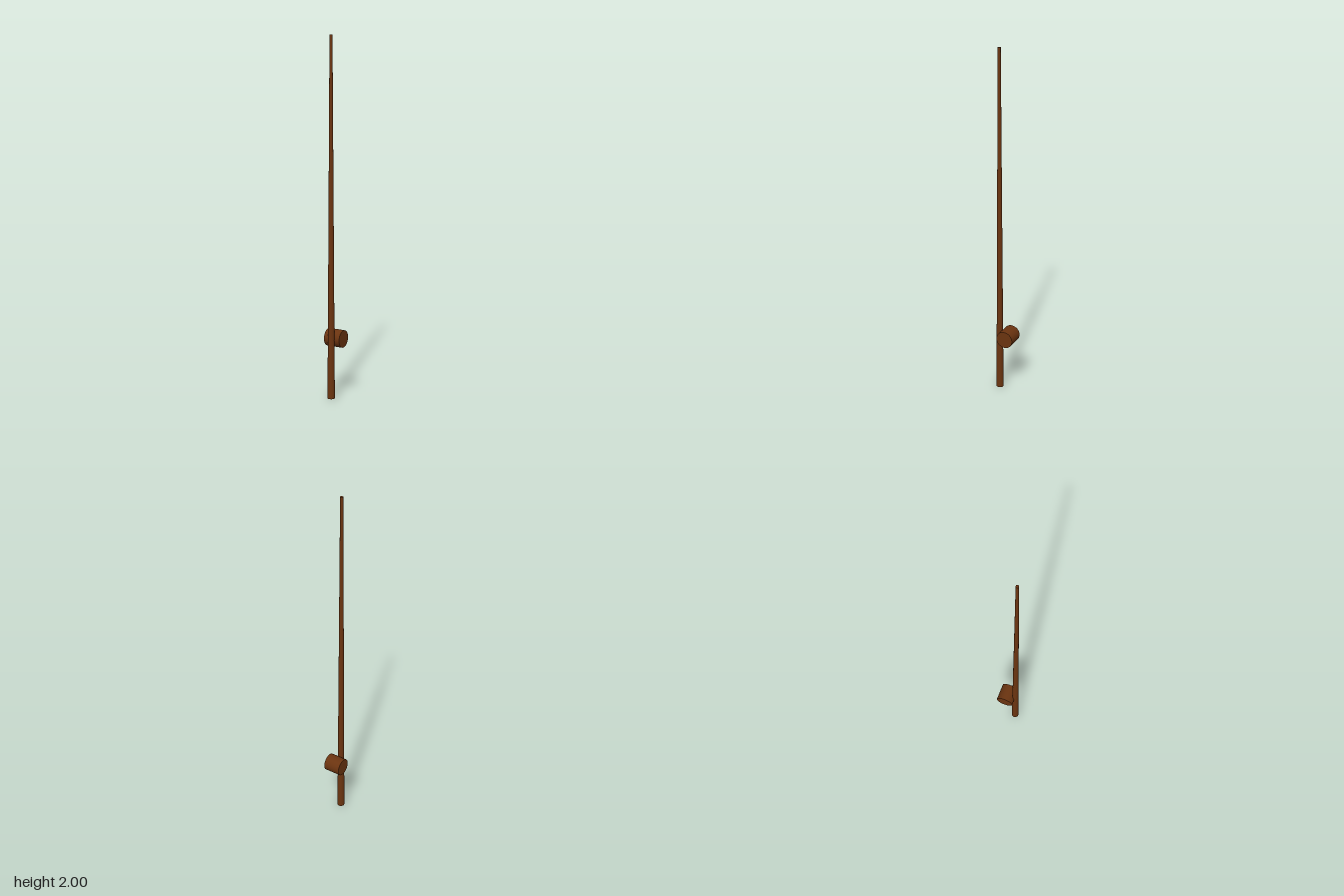
import * as THREE from 'three';

export function createModel() {
  const model = new THREE.Group();
  model.name = 'fishingRod';
  const wood = new THREE.MeshStandardMaterial({ color: 0x6b3410 });

  // Long tapering pole
  const pole = new THREE.Mesh(new THREE.CylinderGeometry(0.008, 0.0205, 2, 32), wood);
  pole.name = 'pole';
  pole.position.set(0, 1, 0.04);
  model.add(pole);

  // Drum-shaped reel lying crosswise behind the pole
  const reel = new THREE.Mesh(new THREE.CylinderGeometry(0.049, 0.049, 0.098, 32), wood);
  reel.name = 'reel';
  reel.rotation.z = Math.PI / 2;
  reel.position.set(0, 0.335, -0.012);
  model.add(reel);

  return model;
}
